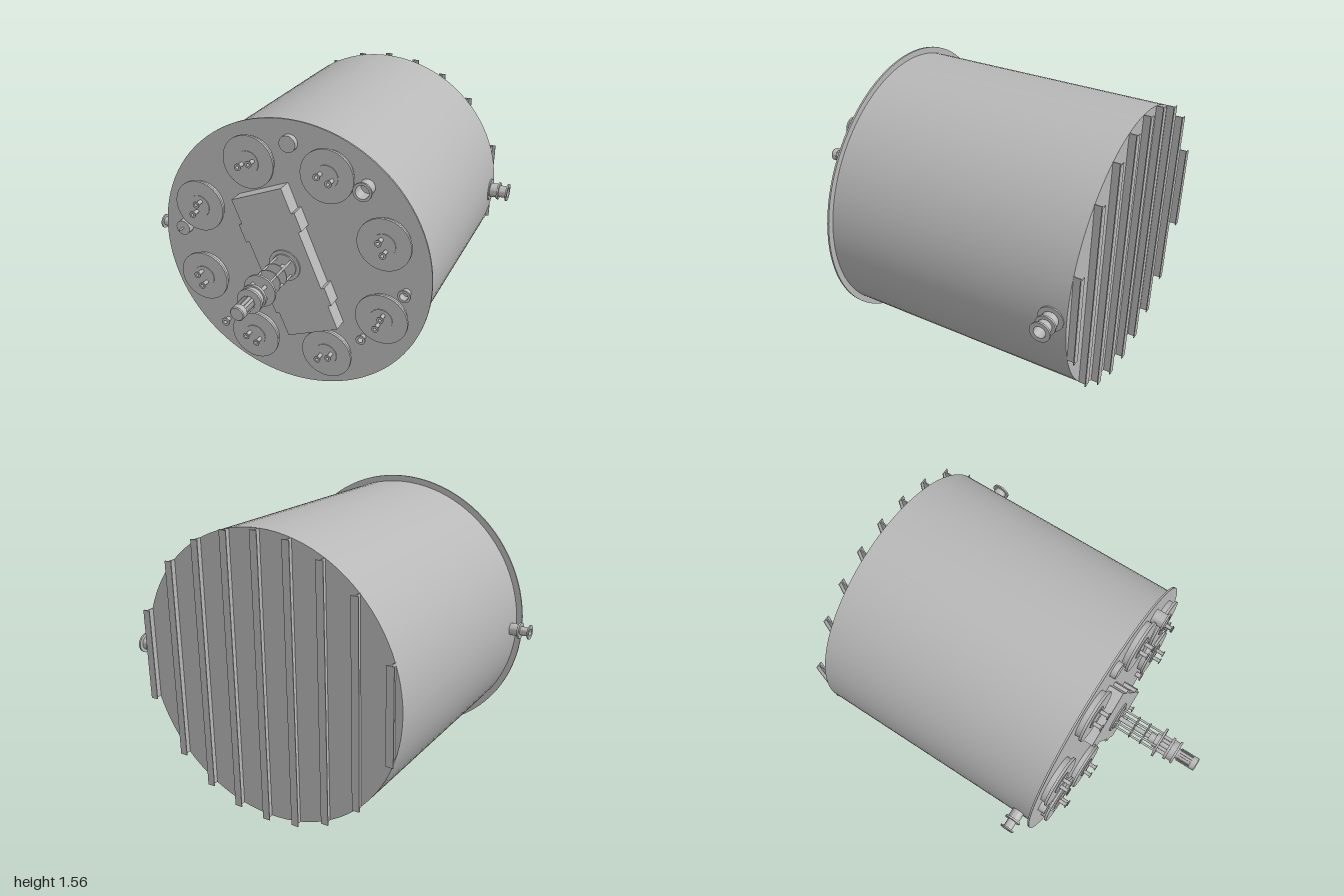
import * as THREE from 'three';
import { toCreasedNormals } from 'three/addons/utils/BufferGeometryUtils.js';

export function createModel() {
  const model = new THREE.Group();
  const steel = new THREE.MeshStandardMaterial({ color: 0xb8b8b8 });
  steel.name = 'steel grey';
  const CY = 0.78; // height of the vessel axis

  const add = (name, geo, x = 0, y = 0, z = 0, parent = model) => {
    const mesh = new THREE.Mesh(geo, steel);
    mesh.name = name;
    mesh.position.set(x, y, z);
    parent.add(mesh);
    return mesh;
  };
  // Revolved solid about z; profile holds [radius, z] pairs from back to front
  const turned = (profile, seg = 32) => {
    const pts = profile.map(([r, z]) => new THREE.Vector2(r, z));
    return toCreasedNormals(new THREE.LatheGeometry(pts, seg).rotateX(Math.PI / 2), 0.6);
  };
  const disc = (r, z0, z1, seg = 32) => turned([[0, z0], [r, z0], [r, z1], [0, z1]], seg);
  // Open flanged pipe with a bore
  const pipe = (r, flange, bore, z0, z1, t = 0.008) => turned([
    [r, z0], [r, z1 - t], [flange, z1 - t], [flange, z1], [bore, z1], [bore, z0 + 0.002], [0, z0 + 0.002],
  ], 24);

  // Shell and front tube plate
  add('vesselShell', disc(0.747, -0.955, 0.4, 96), 0, CY);
  add('frontPlate', disc(0.78, 0.4, 0.41, 96), 0, CY);

  // Stiffening beams across the back, each a web with an outer flange
  for (let i = -4; i <= 4; i++) {
    const x = i * 0.1765;
    const length = 2 * Math.sqrt(0.747 ** 2 - x * x);
    const beam = new THREE.Group();
    beam.name = 'backBeam';
    beam.position.set(x, CY, 0);
    model.add(beam);
    add('beamWeb', new THREE.BoxGeometry(0.006, length, 0.045), 0, 0, -0.975, beam);
    add('beamFlange', new THREE.BoxGeometry(0.04, length, 0.005), 0, 0, -0.9975, beam);
  }

  // Ring of eight round covers, each with two small nozzles
  const coverGeo = turned([[0, 0.41], [0.132, 0.41], [0.132, 0.438], [0.145, 0.438],
    [0.145, 0.452], [0.063, 0.452], [0.063, 0.456], [0, 0.456]], 48);
  const smallNozzle = pipe(0.011, 0.019, 0.008, 0.455, 0.505, 0.006);
  for (let i = 0; i < 8; i++) {
    const a = (i + 0.5) * Math.PI / 4;
    const cover = new THREE.Group();
    cover.name = 'coverAssembly';
    cover.position.set(0.574 * Math.cos(a), CY + 0.574 * Math.sin(a), 0);
    cover.rotation.z = a;
    model.add(cover);
    add('roundCover', coverGeo, 0, 0, 0, cover);
    for (const s of [-1, 1]) add('coverNozzle', smallNozzle, 0, s * 0.034, 0, cover);
  }

  // Individual fittings on the front plate
  add('topPort', disc(0.045, 0.41, 0.44), 0, 1.44);
  add('largeNozzle', pipe(0.04, 0.05, 0.036, 0.41, 0.485, 0.01), 0.422, 1.28);
  add('sideNozzle', pipe(0.024, 0.035, 0.022, 0.41, 0.455), 0.648, 0.732);
  add('lowerNozzle', pipe(0.016, 0.027, 0.014, 0.41, 0.45), 0.418, 0.396);
  add('drainNozzle', pipe(0.014, 0.025, 0.011, 0.41, 0.45), -0.415, 0.28);
  add('probePort', disc(0.042, 0.41, 0.45), -0.65, 0.84);
  add('probe', disc(0.005, 0.45, 0.487, 12), -0.65, 0.84);

  // Tilted access hatch with two tabs on each long side
  const w = 0.157, h = 0.412, tab = 0.02;
  const half = [[w, -h], [w, -0.27], [w + tab, -0.27], [w + tab, -0.165], [w, -0.165],
    [w, 0.165], [w + tab, 0.165], [w + tab, 0.27], [w, 0.27], [w, h]];
  const outline = [...half, ...half.map(([x, y]) => [-x, -y])].map((p) => new THREE.Vector2(...p));
  const hatch = add('accessHatch', new THREE.ExtrudeGeometry(new THREE.Shape(outline),
    { depth: 0.082, bevelEnabled: false }), 0, CY, 0.41);
  hatch.rotation.z = Math.PI / 8;

  // Agitator drive: mounting ring, shaft, spacer plates and motor
  const drive = new THREE.Group();
  drive.name = 'agitatorDrive';
  drive.position.y = CY;
  model.add(drive);
  add('mountingRing', disc(0.09, 0.49, 0.5), 0, 0, 0, drive);
  add('mountingBoss', disc(0.07, 0.5, 0.508), 0, 0, 0, drive);
  add('shaft', disc(0.014, 0.5, 0.9, 20), 0, 0, 0, drive);
  for (const z of [0.6, 0.67]) add('spacerPlate', disc(0.067, z, z + 0.006), 0, 0, 0, drive);
  add('shaftCollar', turned([[0, 0.7], [0.028, 0.7], [0.028, 0.735], [0.042, 0.735],
    [0.042, 0.76], [0, 0.76]]), 0, 0, 0, drive);
  add('supportPlate', disc(0.088, 0.76, 0.772), 0, 0, 0, drive);
  for (let i = 0; i < 4; i++) {
    const a = (i + 0.5) * Math.PI / 2;
    const x = 0.06 * Math.cos(a), y = 0.06 * Math.sin(a);
    add('tieRod', disc(0.006, 0.5, 0.765, 12), x, y, 0, drive);
    add('upperPost', disc(0.01, 0.77, 0.825, 12), x * 0.8, y * 0.8, 0, drive);
  }
  add('gearbox', turned([[0, 0.82], [0.067, 0.82], [0.067, 0.835], [0.058, 0.835],
    [0.058, 0.865], [0.067, 0.865], [0.067, 0.878], [0.03, 0.878], [0.03, 0.89], [0, 0.89]]), 0, 0, 0, drive);
  add('motor', turned([[0, 0.885], [0.033, 0.885], [0.033, 0.965], [0.038, 0.965],
    [0.038, 0.995], [0.034, 1], [0, 1]]), 0, 0, 0, drive);
  for (let i = 0; i < 12; i++) {
    const a = i * Math.PI / 6;
    const fin = add('motorFin', new THREE.BoxGeometry(0.008, 0.005, 0.08),
      0.034 * Math.cos(a), 0.034 * Math.sin(a), 0.928, drive);
    fin.rotation.z = a;
  }

  // Flanged side nozzles: large one at the rear left, small one at the front right
  const rear = add('rearSideNozzle', turned([[0.067, 0.7], [0.067, 0.752], [0.043, 0.752],
    [0.043, 0.795], [0.053, 0.795], [0.053, 0.806], [0.036, 0.806], [0.036, 0.85],
    [0.053, 0.85], [0.053, 0.86], [0.031, 0.86], [0.031, 0.76], [0, 0.76]]), 0, CY, -0.875);
  rear.rotation.y = Math.PI / 2;
  const front = add('frontSideNozzle', turned([[0.034, 0.7], [0.034, 0.795], [0.045, 0.795],
    [0.045, 0.806], [0.025, 0.806], [0.025, 0.852], [0.04, 0.852], [0.04, 0.86],
    [0.021, 0.86], [0.021, 0.76], [0, 0.76]]), 0, CY, 0.32);
  front.rotation.y = -Math.PI / 2;

  return model;
}
